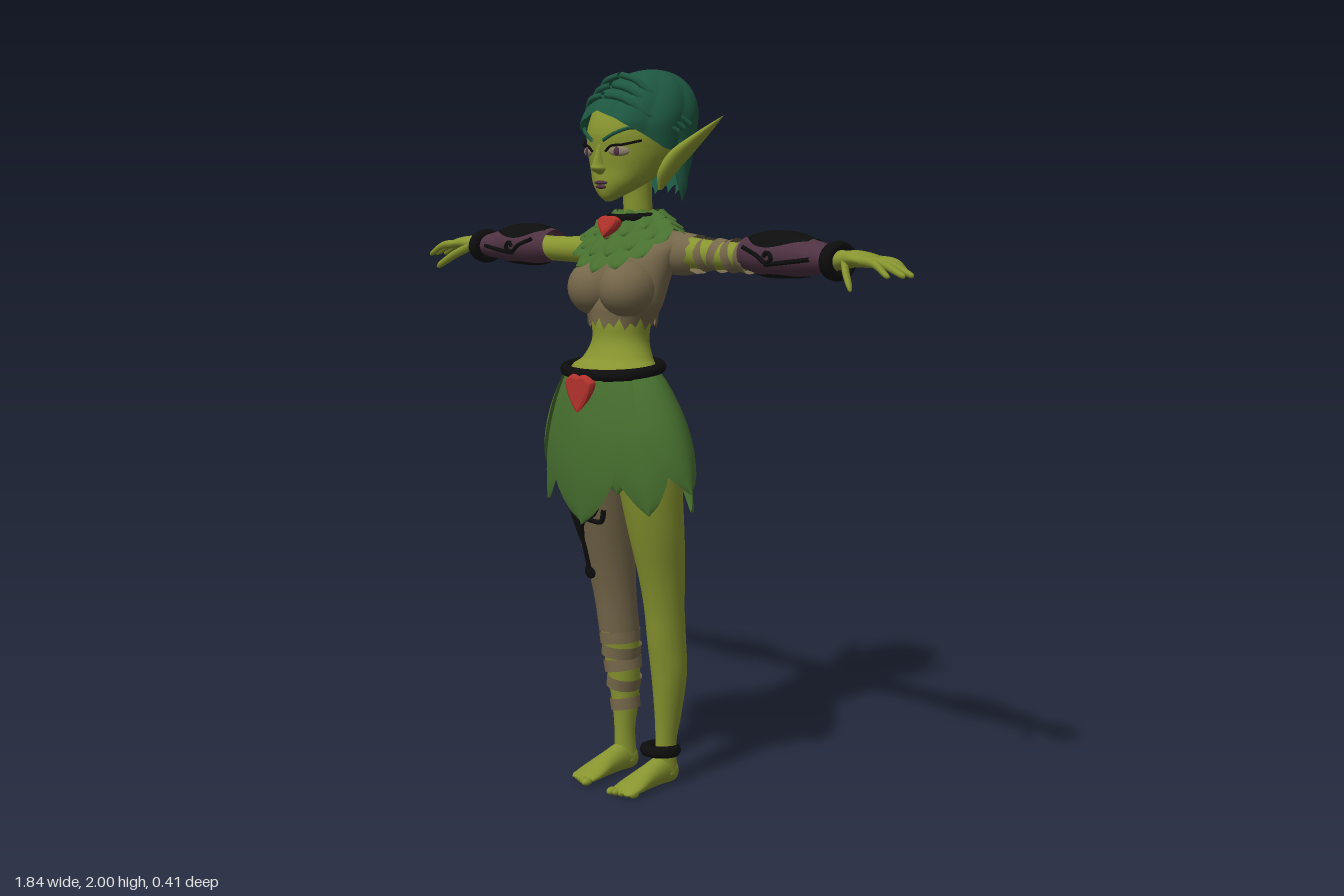
import * as THREE from 'three';

const V = (x, y, z) => new THREE.Vector3(x, y, z);
const material = (name, color, side = THREE.FrontSide) =>
  Object.assign(new THREE.MeshStandardMaterial({ color, side }), { name });

// Surface from a rule fn(u, v); closed joins the last column to the first
function grid(rows, cols, fn, closed = false) {
  const m = closed ? cols : cols + 1, pos = [], idx = [];
  for (let i = 0; i <= rows; i++)
    for (let j = 0; j < m; j++) pos.push(...fn(i / rows, j / cols));
  for (let i = 0; i < rows; i++)
    for (let j = 0; j < cols; j++) {
      const a = i * m + j, b = i * m + (j + 1) % m;
      idx.push(a, b, a + m, b, b + m, a + m);
    }
  const g = new THREE.BufferGeometry();
  g.setAttribute('position', new THREE.Float32BufferAttribute(pos, 3));
  g.setIndex(idx);
  g.computeVertexNormals();
  return g;
}

// Smooth loft of ellipses [position along axis, centre, centre, radius, radius]
function loft(rings, axis = 'y', n = 24, steps = 5, arc = null, mid = 0) {
  const c = new THREE.CatmullRomCurve3(rings.map(r => V(r[0], r[1], r[2])), false, 'catmullrom');
  const r = new THREE.CatmullRomCurve3(rings.map(q => V(q[3], q[4], 0)), false, 'catmullrom');
  return grid((rings.length - 1) * steps, n, (u, v) => {
    const p = c.getPoint(u), q = r.getPoint(u), t = mid + (v * 2 - 1) * (arc ? arc(u) : Math.PI);
    const a = Math.max(q.x, 0.0005), b = Math.max(q.y, 0.0005);
    return axis === 'y'
      ? [p.y + a * Math.sin(t), p.x, p.z + b * Math.cos(t)]
      : [p.x, p.y + a * Math.cos(t), p.z + b * Math.sin(t)];
  }, !arc);
}

// Ragged edge: pull the vertices of one row along an axis
function ragged(g, start, count, axis, amount) {
  const p = g.attributes.position;
  for (let j = 0; j < count; j++)
    p.setComponent(start + j, axis, p.getComponent(start + j, axis) + amount * [0.1, 0.9, 0.4, 0.7][j % 4]);
  return g;
}

function mirrored(g) {
  const m = g.clone().scale(-1, 1, 1), a = m.index.array;
  for (let i = 0; i < a.length; i += 3) [a[i], a[i + 1]] = [a[i + 1], a[i]];
  return m;
}

const tube = (pts, r, closed = false, seg = 24) =>
  new THREE.TubeGeometry(new THREE.CatmullRomCurve3(pts.map(p => V(...p)), closed), seg, r, 8, closed);

// Level oval band; tilt raises its back
const band = (x, y, z, rx, rz, r, tilt = 0) => tube(Array.from({ length: 16 }, (_, i) => {
  const t = i / 16 * Math.PI * 2;
  return [x + rx * Math.sin(t), y - tilt * Math.cos(t), z + rz * Math.cos(t)];
}), r, true, 40);

const ball = (x, y, z, a, b, c, turn = 0) =>
  new THREE.SphereGeometry(1, 20, 14).scale(a, b, c).rotateY(turn).translate(x, y, z);

// Pointed leaf laid on a surface(angle, v)
const leaf = (surface, angle, width) => grid(14, 8, (u, v) => {
  const s = v * 2 - 1;
  const w = u < 0.5 ? 0.72 + 0.28 * Math.sin(u * Math.PI) : Math.max(0, Math.cos((u - 0.5) * Math.PI)) ** 0.8;
  return surface(angle + width * w * s, u, 1 - Math.abs(s));
});

// Heart-shaped jewel, point down, one unit wide
function jewel(w, h) {
  const s = new THREE.Shape();
  s.moveTo(0, -h);
  s.quadraticCurveTo(-w, -h * 0.5, -w, -h * 0.15);
  s.quadraticCurveTo(-w * 0.6, h * 0.12, 0, 0);
  s.quadraticCurveTo(w * 0.6, h * 0.12, w, -h * 0.15);
  s.quadraticCurveTo(w, -h * 0.5, 0, -h);
  return new THREE.ExtrudeGeometry(s, { depth: 0.008, bevelThickness: 0.012, bevelSize: 0.01, bevelOffset: -0.01, bevelSegments: 2 });
}

export function createModel() {
  const root = new THREE.Group();
  const D = THREE.DoubleSide;
  const skin = material('skin', 0x87942f), hairM = material('hair', 0x1d5640, D), leafM = material('leaf', 0x47702f, D);
  const cloth = material('cloth', 0x75674a, D), leather = material('leather', 0x4f3242, D), black = material('black', 0x0d0d0d, D);
  const red = material('jewel', 0xb2322b), eyeM = material('eye', 0x8b7c68);
  const add = (name, mat, g) => {
    const m = new THREE.Mesh(g, mat);
    m.name = name;
    root.add(m);
  };
  const both = (name, mat, g) => { add(name + 'Left', mat, g); add(name + 'Right', mat, mirrored(g)); };

  // Torso, neck and head
  add('torso', skin, loft([[1.06, 0, .055, .12, .09], [1.18, 0, .067, .14, .1], [1.22, 0, .05, .108, .084], [1.27, 0, .04, .086, .072],
    [1.33, 0, .035, .096, .075], [1.42, 0, .01, .12, .08], [1.53, 0, -.02, .13, .06], [1.58, 0, -.03, .05, .045],
    [1.63, 0, -.025, .04, .04], [1.72, 0, -.02, .042, .042]], 'y', 32));
  add('head', skin, loft([[1.643, 0, .085, .006, .008], [1.66, 0, .073, .036, .034], [1.69, 0, .045, .072, .07], [1.73, 0, .01, .102, .105],
    [1.78, 0, -.015, .123, .135], [1.84, 0, -.03, .13, .15], [1.92, 0, -.045, .11, .125], [1.97, 0, -.05, .04, .05]], 'y', 32));
  add('nose', skin, loft([[1.715, 0, .113, .006, .005], [1.73, 0, .118, .02, .026], [1.745, 0, .115, .013, .026],
    [1.78, 0, .11, .009, .018], [1.82, 0, .105, .008, .01]], 'y', 12));
  add('upperLip', leather, ball(0, 1.694, .112, .024, .006, .012));
  add('lowerLip', leather, ball(0, 1.683, .111, .019, .006, .011));
  both('ear', skin, loft([[1.675, .118, .005, .004, .006], [1.72, .13, -.008, .016, .032], [1.775, .152, -.042, .022, .042],
    [1.825, .187, -.085, .013, .026], [1.872, .222, -.13, .001, .001]], 'y', 16));
  both('eye', eyeM, ball(.06, 1.777, .102, .031, .013, .008, .4));
  both('iris', leather, ball(.058, 1.777, .108, .01, .011, .005, .4));
  both('eyelash', black, tube([[.026, 1.777, .12], [.045, 1.791, .118], [.075, 1.794, .106], [.112, 1.805, .068]], .0035));
  both('brow', hairM, tube([[.022, 1.806, .125], [.055, 1.824, .115], [.09, 1.838, .09], [.112, 1.836, .06]], .005));

  // Bobbed hair: its hem is high over the face and low behind the ears
  const hem = [[0, 1.885], [.45, 1.862], [.9, 1.825], [1.3, 1.785], [1.68, 1.775], [1.86, 1.67], [2.4, 1.655], [3.15, 1.665]];
  const hemAt = a => {
    const i = Math.max(1, hem.findIndex(h => h[0] >= a)), [p, q] = [hem[i - 1], hem[i]];
    return p[1] + (q[1] - p[1]) * (a - p[0]) / (q[0] - p[0]);
  };
  add('hair', hairM, grid(30, 120, (u, v) => {
    const t = (v * 2 - 1) * Math.PI, a = Math.abs(t), lock = Math.abs(Math.sin(a * 5 + u * 1.5));
    const low = hemAt(a) + (a > 1.86 ? .025 * Math.abs(Math.sin(a * 10)) : 0);
    const y = 2 - (2 - low) * (1 - Math.cos(u * Math.PI / 2)), d = (y - 1.85) / .15;
    const r = (d > 0 ? Math.sqrt(Math.max(0, 1 - d * d)) : 1) * (.965 + .04 * lock);
    const drop = d < 0 ? (-d * .75) ** 1.5 : 0;
    return [.15 * r * (1 - .12 * drop) * Math.sin(t), y, -.03 - .05 * Math.max(0, d) + .17 * r * (1 - .4 * drop) * Math.cos(t)];
  }, true));
  both('sideLock', hairM, loft([[1.645, .132, -.065, .001, .001], [1.7, .137, -.06, .012, .018], [1.8, .128, -.05, .018, .025], [1.86, .12, -.04, .01, .015]], 'y', 10));
  for (const s of [.3, .62, .95])
    both('fringeStrand', hairM, tube([[.004, 1.9 + s * .085, .125 - s * .09], [.06, 1.893 + s * .075, .115 - s * .08],
      [.112, 1.86 + s * .05, .075 - s * .075], [.148, 1.82 + s * .03, -.01 - s * .07]], .009));

  // Torn top with short sleeves
  add('top', cloth, ragged(loft([[1.335, 0, .033, .105, .087], [1.37, 0, .03, .128, .09], [1.43, 0, .015, .14, .09], [1.49, 0, -.005, .152, .087],
    [1.535, 0, -.03, .165, .07], [1.565, 0, -.035, .12, .055], [1.595, 0, -.03, .045, .045]], 'y', 40), 0, 40, 1, -.04));
  both('bust', cloth, ball(.062, 1.41, .072, .078, .078, .083));
  const sleeve = loft([[.12, 1.505, -.05, .06, .06], [.16, 1.503, -.055, .058, .058], [.19, 1.503, -.058, .053, .054]], 'x', 20);
  both('sleeve', cloth, ragged(sleeve, 200, 20, 0, .025));

  // Leaf collar, choker and neck jewel
  const collar = (from, to, lift) => (t, u, rib) => {
    const d = from + (to - from) * u, c = Math.cos(t);
    return [(.055 + .122 * d) * Math.sin(t), 1.603 - .035 * d - .115 * d * Math.max(0, c) - .045 * d * Math.max(0, -c) + lift + rib * .006,
      -.03 + .03 * d + (.055 + .09 * d + lift + rib * .006) * c];
  };
  [[14, .4, 1, 0, 0], [14, .2, .78, .008, .5], [12, 0, .5, .014, 0]].forEach(([n, from, to, lift, shift]) => {
    for (let i = 0; i < n; i++) add('collarLeaf', leafM, leaf(collar(from, to, lift), (i + shift) / n * Math.PI * 2, 3.9 / n));
  });
  add('choker', black, band(0, 1.6, -.012, .066, .07, .014, .004));
  add('neckJewel', red, jewel(.038, .062).rotateX(-.35).translate(0, 1.6, .072));

  // Arms, hands, bracers and cuffs
  both('arm', skin, loft([[.12, 1.51, -.06, .045, .045], [.25, 1.503, -.06, .039, .042], [.4, 1.503, -.06, .036, .04], [.55, 1.508, -.06, .042, .045],
    [.7, 1.505, -.052, .025, .031], [.76, 1.51, -.045, .021, .043], [.81, 1.505, -.045, .016, .046], [.835, 1.5, -.045, .003, .03]], 'x'));
  [[-.08, -.098, .885], [-.057, -.065, .918], [-.034, -.032, .918], [-.012, .004, .9]].forEach(([a, b, x]) =>
    both('finger', skin, loft([[.79, 1.507, a, .012, .012], [.845, 1.501, (a + b) / 2, .011, .011], [x - .012, 1.476, b, .008, .009], [x, 1.472, b, .001, .001]], 'x', 10)));
  both('thumb', skin, loft([[.735, 1.5, -.025, .013, .014], [.77, 1.475, .01, .013, .014], [.805, 1.445, .038, .01, .01], [.815, 1.437, .045, .001, .001]], 'x', 10));
  const bracer = [[.385, 1.512, -.06, .044, .05], [.45, 1.512, -.06, .056, .064], [.54, 1.512, -.06, .055, .065], [.62, 1.507, -.057, .043, .051], [.69, 1.504, -.053, .031, .04]];
  both('bracer', leather, loft(bracer, 'x'));
  const plate = bracer.slice(0, 4).map(r => [r[0] * .9 + .055, r[1], r[2], r[3] + .005, r[4] + .005]);
  both('bracerTopPlate', black, loft(plate, 'x', 16, 6, u => .5 + .75 * Math.sin(u * Math.PI)));
  both('bracerLowerPlate', black, loft(plate, 'x', 12, 6, u => .65 * Math.sin(u * Math.PI), Math.PI));
  both('bracerSwirl', black, tube([[.42, 1.53, .003], [.47, 1.512, .01], [.505, 1.492, .008], [.525, 1.505, .012], [.51, 1.52, .012], [.5, 1.509, .013]], .006));
  both('bracerSwirlTail', black, tube([[.5, 1.488, .007], [.57, 1.496, .007], [.64, 1.505, -.005]], .006));
  both('cuff', black, new THREE.TorusGeometry(.04, .014, 10, 28).scale(.95, 1.2, 1).rotateX(Math.PI / 2).rotateZ(Math.PI / 2)
    .scale(1.3, 1, 1).translate(.692, 1.502, -.052));
  [[.235, .28], [.285, -.22], [.335, .25], [.38, -.15]].forEach(([x, tilt]) =>
    add('armWrap', cloth, new THREE.CylinderGeometry(.044, .045, .03, 20, 1, true).rotateZ(Math.PI / 2 + tilt).translate(x, 1.503, -.06)));

  // Legs: the left is bare, the right has a stocking and wraps
  const leg = [[.03, .083, -.057, .03, .036], [.12, .085, -.055, .027, .033], [.2, .088, -.06, .034, .042], [.32, .095, -.057, .048, .053],
    [.42, .097, -.045, .051, .058], [.52, .1, -.032, .054, .06], [.62, .103, -.018, .062, .07], [.77, .107, .012, .078, .083],
    [.95, .102, .04, .087, .095], [1.12, .075, .055, .07, .09]];
  add('legLeft', skin, loft(leg));
  add('legRight', skin, mirrored(loft(leg.slice(0, 6))));
  add('stocking', cloth, mirrored(loft(leg.slice(4).map(r => [r[0], r[1], r[2], r[3] + .004, r[4] + .004]))));
  const legAt = y => {
    const i = Math.max(1, leg.findIndex(r => r[0] >= y)), k = (y - leg[i - 1][0]) / (leg[i][0] - leg[i - 1][0]);
    return leg[i].map((q, j) => leg[i - 1][j] + (q - leg[i - 1][j]) * k);
  };
  [[.2, .15], [.265, -.2], [.315, .18], [.36, -.12], [.4, .08]].forEach(([y, tilt]) => {
    const [, x, z, a, b] = legAt(y);
    add('legWrap', cloth, new THREE.CylinderGeometry(1, .97, .034, 24, 1, true).scale(a + .006, 1, b + .006).rotateZ(tilt).translate(-x, y, z));
  });
  both('foot', skin, loft([[-.098, .03, 0, .008, .008], [-.08, .036, 0, .034, .027], [-.04, .043, 0, .042, .03], [.015, .034, 0, .034, .034],
    [.07, .022, 0, .022, .043], [.11, .013, 0, .012, .042], [.125, .011, 0, .004, .03]], 'x').rotateY(-Math.PI / 2).translate(.083, 0, 0));
  for (let i = 0; i < 5; i++)
    both('toe', skin, ball(.052 + i * .0165, .011, .124 - i * .006, i ? .0085 : .012, .011, .018));
  add('anklet', black, band(.072, .098, -.046, .038, .044, .018, -.004));

  // Painted thigh scrolls that follow the stocking
  const onThigh = ([x, y]) => {
    const [, cx, cz, a, b] = legAt(y), k = Math.max(-1, Math.min(1, (x + cx) / (a + .004)));
    return [x, y, cz + (b + .004) * Math.sqrt(1 - k * k)];
  };
  [[[-.117, .61], [-.115, .68], [-.12, .76], [-.115, .87]], [[-.117, .69], [-.135, .75], [-.17, .78], [-.18, .83], [-.165, .87]],
    [[-.117, .69], [-.1, .75], [-.06, .78], [-.045, .83], [-.06, .88]], [[-.12, .73], [-.15, .8], [-.14, .85], [-.155, .92]],
    [[-.115, .73], [-.085, .8], [-.095, .85], [-.075, .92]], [[-.15, .76], [-.18, .76], [-.182, .8]], [[-.08, .76], [-.05, .755], [-.04, .79]]]
    .forEach(pts => add('thighScroll', black, tube(pts.map(onThigh), .008)));
  add('thighDot', black, ball(...onThigh([-.117, .6]), .022, .022, .008));

  // Leaf skirt, belt and belt jewel
  const skirt = (tip, inset) => (t, u, rib) => {
    const k = u ** .8, b = .008 * rib - inset + .02 * Math.sin(u * Math.PI);
    return [(.148 + .13 * k + b) * Math.sin(t), 1.19 - (1.19 - tip) * u, .07 - .025 * k + (.108 + .03 * k + b) * Math.cos(t)];
  };
  [[0, .55, .77, 0], [Math.PI, .55, .77, 0], [.86, .5, .81, .014], [-.86, .5, .81, .014], [1.57, .72, .87, .002], [-1.57, .72, .87, .002],
    [2.3, .5, .8, .014], [-2.3, .5, .8, .014], [.42, .42, .86, .024], [-.42, .42, .86, .024], [2.72, .42, .86, .024], [-2.72, .42, .86, .024]]
    .forEach(([a, w, tip, inset]) => add('skirtLeaf', leafM, leaf(skirt(tip, inset), a, w)));
  add('belt', black, band(0, 1.192, .07, .152, .108, .016, .012));
  add('beltJewel', red, jewel(.052, .11).translate(0, 1.178, .184));
  return root;
}
